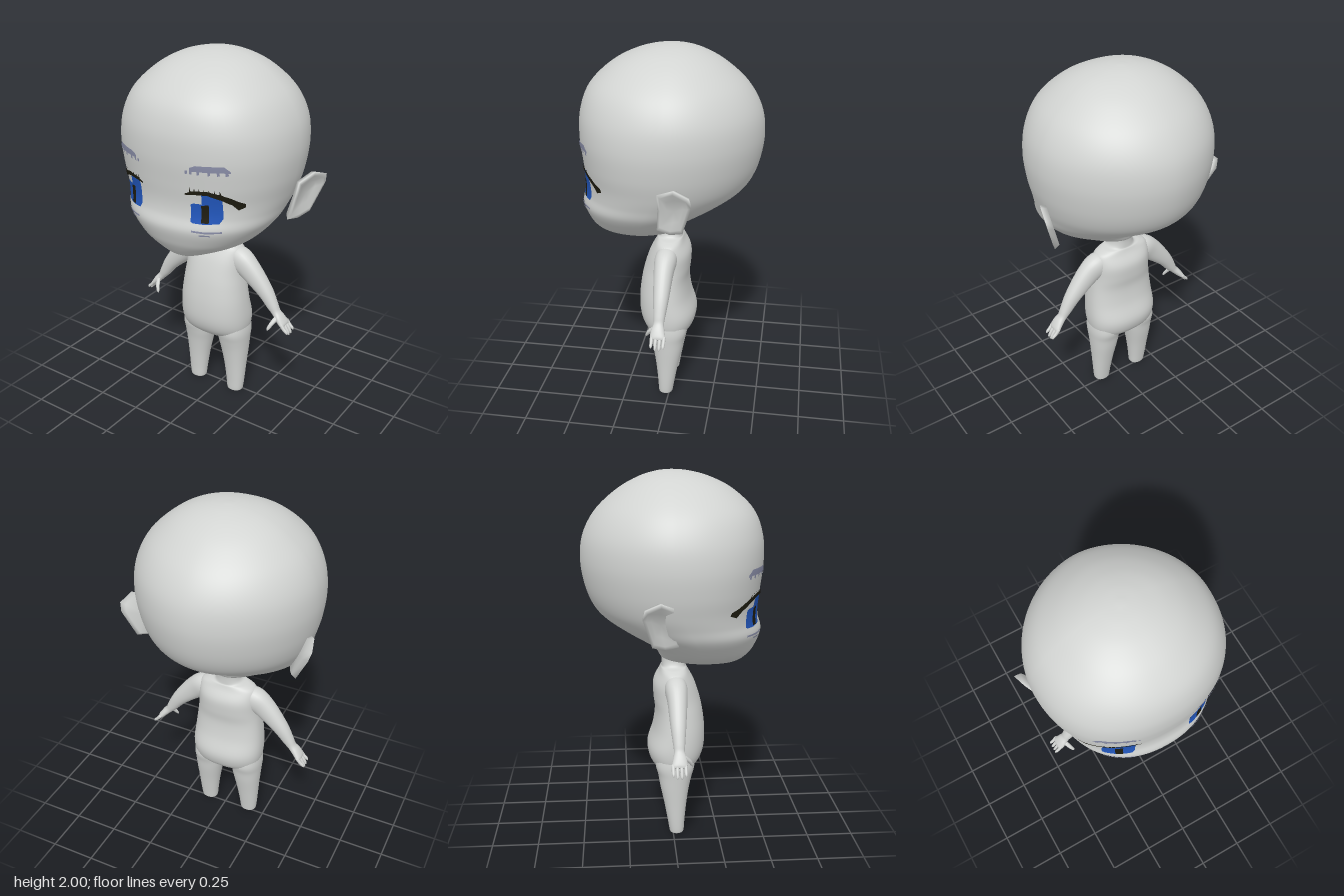
import * as THREE from 'three';

const CX = -0.018; // body symmetry plane
const EYE_CX = -0.032; // symmetry plane of the painted face

const mat = (name, color) => Object.assign(new THREE.MeshStandardMaterial({ color }), { name });

// Catmull-Rom interpolation through rows of numbers
function smooth(rows, steps) {
  const out = [];
  const at = (i) => rows[Math.min(Math.max(i, 0), rows.length - 1)];
  for (let i = 0; i < rows.length - 1; i++) {
    for (let k = 0; k < steps; k++) {
      const t = k / steps;
      out.push(rows[i].map((_, c) => {
        const [a, b, d, e] = [at(i - 1)[c], at(i)[c], at(i + 1)[c], at(i + 2)[c]];
        return 0.5 * (2 * b + (d - a) * t + (2 * a - 5 * b + 4 * d - e) * t * t + (3 * b - a - 3 * d + e) * t * t * t);
      }));
    }
  }
  out.push(rows[rows.length - 1]);
  return out;
}

// Skin over rings of [x, y, z]; side -1 mirrors in x
function loft(rings, { side = 1, cx = 0, capStart = true, capEnd = true } = {}) {
  const n = rings[0].length, pos = [], idx = [];
  const put = (p) => pos.push(cx + side * p[0], p[1], p[2]);
  const tri = (a, b, c) => (side > 0 ? idx.push(a, b, c) : idx.push(a, c, b));
  rings.forEach((r) => r.forEach(put));
  for (let i = 0; i < rings.length - 1; i++) {
    for (let j = 0; j < n; j++) {
      const a = i * n + j, b = i * n + ((j + 1) % n);
      tri(a, a + n, b);
      tri(b, a + n, b + n);
    }
  }
  const cap = (row, end) => {
    const c = pos.length / 3;
    put([0, 1, 2].map((k) => rings[row].reduce((s, p) => s + p[k], 0) / n));
    for (let j = 0; j < n; j++) {
      const a = row * n + j, b = row * n + ((j + 1) % n);
      end ? tri(c, b, a) : tri(c, a, b);
    }
  };
  if (capStart) cap(0, false);
  if (capEnd) cap(rings.length - 1, true);
  const g = new THREE.BufferGeometry();
  g.setAttribute('position', new THREE.Float32BufferAttribute(pos, 3));
  g.setIndex(idx);
  g.computeVertexNormals();
  return g;
}

const sp = (v, n) => Math.sign(v) * Math.pow(Math.abs(v), 2 / n);

// Horizontal section [y, halfWidth, zFront, zBack, zWidest], squarer in front than behind
function section([y, w, zf, zb, zc], nf, nb, segs) {
  return Array.from({ length: segs }, (_, j) => {
    const a = (j / segs) * Math.PI * 2, s = Math.sin(a), n = s >= 0 ? nf : nb;
    return [w * sp(Math.cos(a), n), y, zc + (s >= 0 ? zf - zc : zc - zb) * sp(s, n)];
  });
}

// Limb along rows [x, y, z, radius across, radius in z]
function limb(rows, steps, segs, options) {
  const path = smooth(rows, steps);
  const rings = path.map((p, i) => {
    const a = path[Math.max(i - 1, 0)], b = path[Math.min(i + 1, path.length - 1)];
    const tx = b[0] - a[0], ty = b[1] - a[1], l = Math.hypot(tx, ty);
    return Array.from({ length: segs }, (_, j) => {
      const t = (j / segs) * Math.PI * 2, c = sp(Math.cos(t), 2.2) * p[3], s = sp(Math.sin(t), 2.2) * p[4];
      return [p[0] + (ty / l) * c, p[1] - (tx / l) * c, p[2] + s];
    });
  });
  return loft(rings, { cx: CX, ...options });
}

const FACE_N = 2.2;
const headRows = smooth([
  [0.963, 0.025, 0.3, 0.12, 0.2], [0.975, 0.085, 0.345, 0.05, 0.19], [1.0, 0.16, 0.386, -0.05, 0.17],
  [1.05, 0.272, 0.425, -0.085, 0.15], [1.1, 0.338, 0.452, -0.135, 0.13], [1.18, 0.405, 0.476, -0.27, 0.1],
  [1.25, 0.432, 0.458, -0.37, 0.06], [1.32, 0.455, 0.455, -0.425, 0.03], [1.42, 0.48, 0.467, -0.462, 0.02],
  [1.55, 0.493, 0.48, -0.48, 0.01], [1.68, 0.475, 0.472, -0.462, 0], [1.8, 0.415, 0.425, -0.395, 0],
  [1.9, 0.31, 0.32, -0.285, 0], [1.96, 0.205, 0.205, -0.18, 0], [1.99, 0.1, 0.1, -0.09, 0], [2.0, 0.015, 0.015, -0.015, 0],
], 6);

// Depth of the face surface at x, y
function faceZ(x, y) {
  const i = headRows.findIndex((r) => r[0] > y), a = headRows[i - 1], b = headRows[i];
  const t = (y - a[0]) / (b[0] - a[0]);
  const [, w, zf, , zc] = a.map((v, k) => v + (b[k] - v) * t);
  const d = Math.min(Math.abs(x - CX) / w, 1);
  return zc + (zf - zc) * Math.pow(1 - Math.pow(d, FACE_N), 1 / FACE_N);
}

// Painted patch hugging the face, from columns [x, yLow, yHigh]
function patch(cols, cx, side, lift) {
  const pos = [], idx = [], rows = 6, fine = [];
  cols.forEach((c, i) => {
    if (i) for (let k = 1; k <= 4; k++) fine.push(c.map((v, m) => cols[i - 1][m] + ((v - cols[i - 1][m]) * k) / 4));
    else fine.push(c);
  });
  fine.forEach(([u, lo, hi], i) => {
    for (let j = 0; j <= rows; j++) {
      const x = cx + side * u, y = lo + ((hi - lo) * j) / rows;
      pos.push(x, y, faceZ(x, y) + lift);
      if (!i || !j) continue;
      const d = i * (rows + 1) + j, c = d - 1, b = d - rows - 1, a = b - 1;
      side > 0 ? idx.push(a, c, d, a, d, b) : idx.push(a, d, c, a, b, d);
    }
  });
  const g = new THREE.BufferGeometry();
  g.setAttribute('position', new THREE.Float32BufferAttribute(pos, 3));
  g.setIndex(idx);
  g.computeVertexNormals();
  return g;
}

export function createModel() {
  const model = new THREE.Group();
  model.name = 'figure';
  const skin = mat('skin grey', 0xd2d4d2), blue = mat('iris blue', 0x2257bd);
  const dark = mat('lash black', 0x1e1c10), brow = mat('brow violet grey', 0x8a8ea8);
  const add = (name, geometry, material = skin) => {
    const m = new THREE.Mesh(geometry, material);
    m.name = name;
    model.add(m);
  };

  add('head', loft(headRows.map((r) => section(r, FACE_N, 1.87, 96)), { cx: CX }));

  // Torso, running up into the neck
  const torso = smooth([
    [0.348, 0.04, 0.03, -0.03, 0], [0.36, 0.11, 0.075, -0.06, 0.01], [0.385, 0.178, 0.118, -0.095, 0.01],
    [0.43, 0.2, 0.158, -0.125, 0.01], [0.5, 0.207, 0.18, -0.135, 0.01], [0.6, 0.2, 0.182, -0.105, 0.02],
    [0.7, 0.187, 0.17, -0.092, 0.02], [0.78, 0.176, 0.152, -0.1, 0.015], [0.86, 0.172, 0.125, -0.1, 0.01],
    [0.92, 0.162, 0.093, -0.07, 0.01], [0.945, 0.12, 0.08, -0.06, 0.01], [0.96, 0.074, 0.075, -0.055, 0.01],
    [1.02, 0.064, 0.08, -0.06, 0.01], [1.08, 0.085, 0.1, -0.095, 0.01],
  ], 5);
  add('torsoAndNeck', loft(torso.map((r) => section(r, 2.3, 2.3, 56)), { cx: CX }));

  const earOutline = [[0, 1.375], [0.085, 1.418], [0.165, 1.39], [0.175, 1.34], [0.127, 1.18], [0.06, 1.155], [-0.01, 1.165], [0, 1.285]];
  const earLayers = [[0.88, -0.018], [1, 0.008], [0.82, 0.01], [0.5, -0.006]]; // scale, outward offset

  for (const side of [1, -1]) {
    const tag = side > 0 ? 'left' : 'right';

    // Leg with a turned-in rim at the open foot
    add(tag + 'Leg', limb([
      [0.116, 0.48, 0.012, 0.08, 0.1], [0.118, 0.41, 0.012, 0.088, 0.108], [0.118, 0.35, 0.012, 0.086, 0.094],
      [0.122, 0.28, 0.01, 0.077, 0.08], [0.127, 0.18, 0.013, 0.064, 0.062], [0.13, 0.08, 0.017, 0.054, 0.048],
      [0.13, 0.02, 0.02, 0.048, 0.041], [0.13, 0.005, 0.02, 0.043, 0.037], [0.13, 0, 0.02, 0.028, 0.024],
    ], 5, 32, { side, capEnd: false }));

    add(tag + 'Arm', limb([
      [0.06, 0.885, 0.012, 0.035, 0.04], [0.145, 0.863, 0.014, 0.068, 0.06], [0.217, 0.812, 0.017, 0.064, 0.053],
      [0.312, 0.713, 0.015, 0.045, 0.042], [0.365, 0.636, 0.015, 0.032, 0.032], [0.39, 0.6, 0.015, 0.023, 0.028],
      [0.415, 0.573, 0.016, 0.021, 0.036], [0.438, 0.545, 0.013, 0.017, 0.041], [0.447, 0.534, 0.013, 0.01, 0.036],
    ], 5, 28, { side }));

    // Four fingers and a thumb
    [[0.044, 0.5], [0.022, 0.488], [0, 0.488], [-0.021, 0.5]].forEach(([z, tip], i) => add(tag + 'Finger' + (i + 1), limb([
      [0.436, 0.55, z, 0.01, 0.01], [0.456, 0.525, z, 0.0095, 0.009], [0.473, tip + 0.01, z, 0.008, 0.0075], [0.478, tip, z, 0.003, 0.003],
    ], 3, 10, { side })));
    add(tag + 'Thumb', limb([
      [0.408, 0.582, 0.035, 0.014, 0.014], [0.393, 0.553, 0.064, 0.012, 0.012], [0.38, 0.525, 0.08, 0.009, 0.008], [0.375, 0.512, 0.084, 0.003, 0.003],
    ], 3, 12, { side }));

    // Dished ear, leaning out and back; the right one is set deeper at its foot
    const [base, lean] = side > 0 ? [0.445, 0.25] : [0.436, 0.36];
    add(tag + 'Ear', loft(earLayers.map(([k, o]) => earOutline.map(([s0, y0]) => {
      const s = 0.08 + (s0 - 0.08) * k, dy = (y0 - 1.29) * k;
      return [base + 0.38 * s + lean * dy + o, 1.29 + dy - lean * o, -s + 0.38 * o];
    })), { side }));

    // Iris with its light corner left open, and pupil
    const ex = EYE_CX + side * 0.228;
    add(tag + 'Iris', patch([[-0.073, 1.238, 1.328], [-0.06, 1.232, 1.335], [-0.018, 1.23, 1.335], [-0.016, 1.23, 1.39],
      [0.058, 1.235, 1.395], [0.073, 1.262, 1.365]], ex, 1, 0.004), blue);
    add(tag + 'Pupil', patch([[-0.02, 1.237, 1.328], [0.015, 1.237, 1.335]], ex, 1, 0.007), dark);

    // Upper lash line with short spikes
    add(tag + 'Lash', patch([[0.13, 1.378, 1.385], [0.17, 1.384, 1.403], [0.24, 1.386, 1.408], [0.3, 1.362, 1.392],
      [0.34, 1.335, 1.372], [0.36, 1.305, 1.355], [0.385, 1.32, 1.338]], EYE_CX, side, 0.007), dark);
    for (let i = 0; i < 7; i++) {
      const x = 0.155 + i * 0.023;
      add(tag + 'LashSpike' + (i + 1), patch([[x, 1.385, 1.39], [x + 0.004, 1.385, 1.424 - 0.002 * i], [x + 0.01, 1.385, 1.39]], EYE_CX, side, 0.007), dark);
    }

    // Ragged flat brow and the faint marks below the eye
    add(tag + 'Brow', patch([[0.165, 1.507, 1.525], [0.195, 1.508, 1.538], [0.32, 1.508, 1.54], [0.345, 1.505, 1.515]], EYE_CX, side, 0.005), brow);
    for (const x of [0.142, 0.165, 0.2, 0.25, 0.29, 0.325]) {
      add(tag + 'BrowTuft', patch([[x, 1.49, 1.508], [x + 0.012, 1.494, 1.51]], EYE_CX, side, 0.005), brow);
    }
    add(tag + 'LowerLid', patch([[0.165, 1.188, 1.197], [0.23, 1.184, 1.194], [0.3, 1.188, 1.197]], EYE_CX, side, 0.005), brow);
    add(tag + 'LowerLidMark', patch([[0.2, 1.168, 1.176], [0.25, 1.168, 1.176]], EYE_CX, side, 0.005), brow);
  }
  return model;
}
